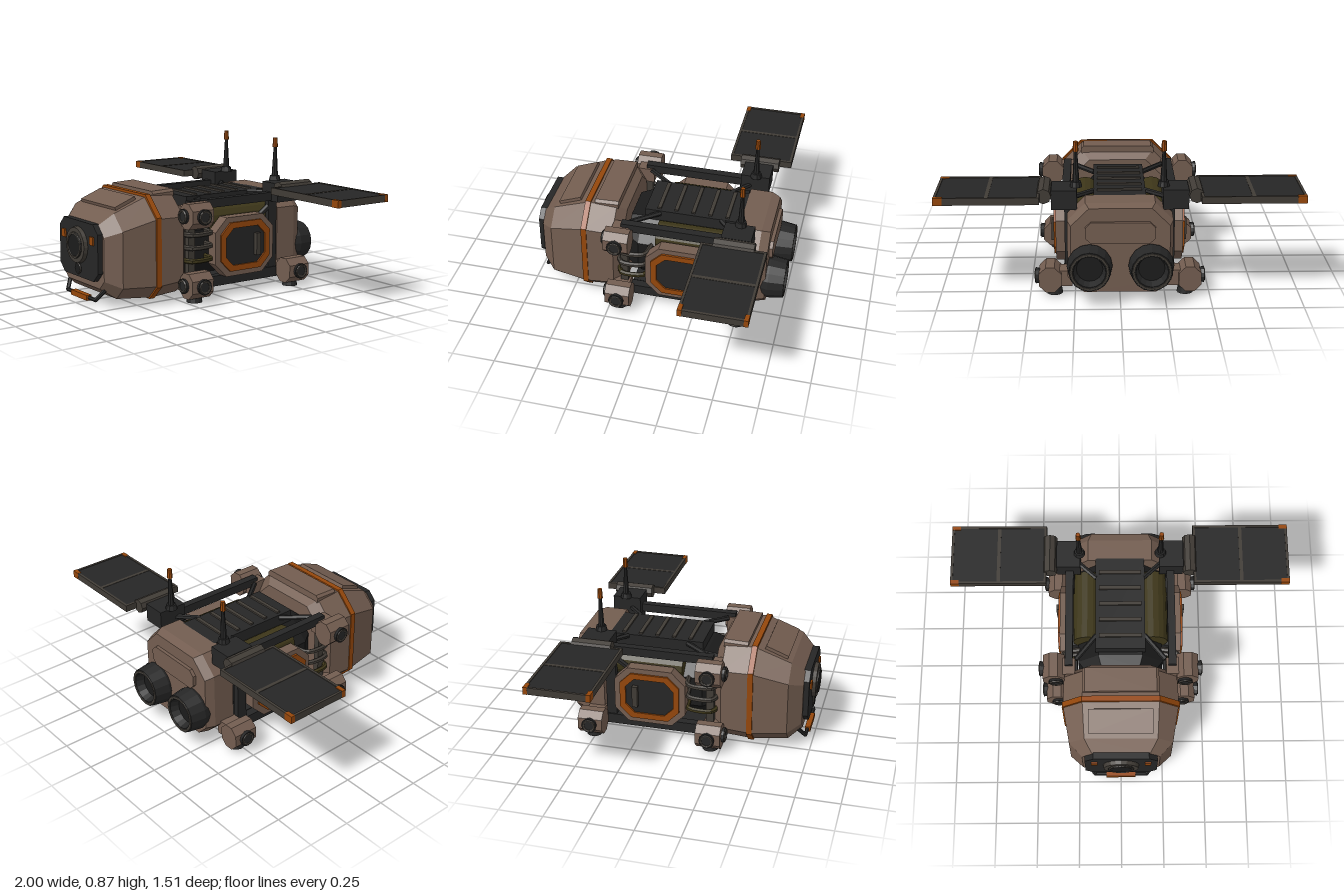
import * as THREE from 'three';

const mat = (name, color) => {
  const m = new THREE.MeshStandardMaterial({ color, flatShading: true });
  m.name = name;
  return m;
};

// Chamfered rectangle, counter-clockwise; ct and cb are the top and bottom chamfers
const octagon = (hx, y0, y1, ct, cb = ct) => [
  [hx - cb, y0], [hx, y0 + cb], [hx, y1 - ct], [hx - ct, y1],
  [ct - hx, y1], [-hx, y1 - ct], [-hx, y0 + cb], [cb - hx, y0]];

// Skin over octagon sections [z, hx, y0, y1, ct, cb], ordered front to back
function loft(sections) {
  const rings = sections.map(([z, ...o]) => octagon(...o).map(([x, y]) => [x, y, z]));
  const out = [], tri = (...p) => p.forEach(v => out.push(...v));
  for (let k = 0; k < rings.length - 1; k++) for (let i = 0; i < 8; i++) {
    const j = (i + 1) % 8, a = rings[k], b = rings[k + 1];
    tri(a[i], b[i], b[j]);
    tri(a[i], b[j], a[j]);
  }
  const f = rings[0], r = rings[rings.length - 1];
  for (let i = 1; i < 7; i++) { tri(f[0], f[i], f[i + 1]); tri(r[0], r[i + 1], r[i]); }
  const g = new THREE.BufferGeometry();
  g.setAttribute('position', new THREE.Float32BufferAttribute(out, 3));
  g.computeVertexNormals();
  return g;
}

// Octagonal plate centred on the origin, optionally with an octagonal hole
function plate(w, h, c, depth, rim = 0) {
  const shape = new THREE.Shape(octagon(w / 2, -h / 2, h / 2, c).map(p => new THREE.Vector2(...p)));
  if (rim) shape.holes.push(new THREE.Path(
    octagon(w / 2 - rim, rim - h / 2, h / 2 - rim, c * 0.8).reverse().map(p => new THREE.Vector2(...p))));
  return new THREE.ExtrudeGeometry(shape, { depth, bevelEnabled: false }).translate(0, 0, -depth / 2);
}

export function createModel() {
  const brown = mat('hull brown', 0x735d50), orange = mat('orange trim', 0x95470b),
    dark = mat('charcoal', 0x262626), black = mat('black', 0x1b1b1b),
    gray = mat('warm gray', 0x413c36), olive = mat('olive tank', 0x3d3619);
  const root = new THREE.Group();
  root.name = 'spacecraft';

  const add = (name, geo, m, x = 0, y = 0, z = 0, rx = 0, ry = 0, rz = 0) => {
    const mesh = new THREE.Mesh(geo, m);
    mesh.name = name;
    mesh.position.set(x, y, z);
    mesh.rotation.set(rx, ry, rz);
    root.add(mesh);
    return mesh;
  };
  const box = (name, m, w, h, d, x, y, z, rx = 0) => add(name, new THREE.BoxGeometry(w, h, d), m, x, y, z, rx);
  // Cylinder along z; r1 is the +z end
  const cylZ = (name, m, r1, r2, len, x, y, z, n = 16) =>
    add(name, new THREE.CylinderGeometry(r1, r2, len, n), m, x, y, z, Math.PI / 2);
  const rod = (name, m, a, b, r, n = 6) => {
    const p = new THREE.Vector3(...a), q = new THREE.Vector3(...b), d = q.clone().sub(p);
    const mesh = add(name, new THREE.CylinderGeometry(r, r, d.length(), n), m, ...p.clone().add(q).multiplyScalar(0.5).toArray());
    mesh.quaternion.setFromUnitVectors(new THREE.Vector3(0, 1, 0), d.normalize());
  };

  // Command cabin
  add('cabin', loft([
    [0.695, 0.225, 0.105, 0.46, 0.06, 0.05], [0.62, 0.3, 0.05, 0.525, 0.09, 0.07],
    [0.41, 0.335, 0.035, 0.605, 0.115, 0.075], [0.24, 0.33, 0.045, 0.6, 0.115, 0.075],
    [0.19, 0.27, 0.07, 0.555, 0.1, 0.07]]), brown);
  add('cabinBand', loft([
    [0.425, 0.34, 0.028, 0.614, 0.117, 0.077], [0.393, 0.34, 0.028, 0.614, 0.117, 0.077]]), orange);
  add('roofPanel', loft([
    [0.37, 0.22, 0.58, 0.625, 0.015, 0.01], [0.23, 0.22, 0.58, 0.63, 0.015, 0.01]]), brown);
  box('browPanel', brown, 0.37, 0.02, 0.14, 0, 0.569, 0.53, 0.37);

  // Nose face with docking port
  add('nosePlate', plate(0.42, 0.32, 0.05, 0.04), dark, 0, 0.307, 0.705);
  cylZ('portRing', gray, 0.1, 0.105, 0.025, 0, 0.33, 0.735, 20);
  cylZ('portCover', black, 0.075, 0.075, 0.008, 0, 0.33, 0.75, 20);
  add('portInnerRing', new THREE.TorusGeometry(0.068, 0.008, 6, 20), gray, 0, 0.33, 0.75);
  cylZ('sensor', black, 0.03, 0.03, 0.012, 0, 0.195, 0.728, 12);
  add('sensorRing', new THREE.TorusGeometry(0.028, 0.005, 5, 12), gray, 0, 0.195, 0.73);

  // Front grab bar
  box('grabBarGrip', orange, 0.175, 0.03, 0.032, 0, 0.04, 0.712);
  rod('grabBar', dark, [-0.16, 0.04, 0.71], [0.16, 0.04, 0.71], 0.011);

  // Service core with ribbed top deck
  add('core', loft([
    [0.18, 0.2, 0.12, 0.48, 0.09], [0.11, 0.25, 0.08, 0.5, 0.12], [-0.5, 0.25, 0.08, 0.5, 0.12]]), black);
  box('deck', dark, 0.29, 0.07, 0.57, 0, 0.525, -0.195);
  for (let i = 0; i < 5; i++) box('deckRib', gray, 0.25, 0.014, 0.022, 0, 0.563, 0.01 - i * 0.1);

  // Belly hatch
  box('bellyFrame', dark, 0.5, 0.05, 0.6, 0, 0.075, -0.16);
  for (const s of [-1, 1]) {
    box('bellyRail', black, 0.03, 0.02, 0.54, s * 0.215, 0.045, -0.16);
    box('bellyBeam', black, 0.46, 0.02, 0.03, 0, 0.045, -0.16 + s * 0.25);
  }
  box('bellyHatch', brown, 0.34, 0.02, 0.4, 0, 0.042, -0.16);

  // Engine block
  add('engineBlock', loft([
    [-0.47, 0.29, 0.06, 0.56, 0.1, 0.07], [-0.6, 0.29, 0.06, 0.56, 0.1, 0.07],
    [-0.65, 0.27, 0.06, 0.545, 0.1, 0.07]]), brown);
  add('enginePanel', plate(0.38, 0.12, 0.03, 0.03), brown, 0, 0.41, -0.655);

  for (const s of [-1, 1]) {
    // Main engines
    cylZ('engineBell', dark, 0.095, 0.125, 0.1, s * 0.168, 0.22, -0.615);
    const bell = [[0.125, -0.665], [0.112, -0.755], [0.088, -0.755], [0.07, -0.7], [0, -0.69]]
      .map(([r, z]) => new THREE.Vector2(r, -z));
    const lathe = add('engineNozzle', new THREE.LatheGeometry(bell, 16), black, s * 0.168, 0.22, 0, -Math.PI / 2);
    lathe.material = dark;
    add('engineLip', new THREE.TorusGeometry(0.1, 0.011, 6, 16), gray, s * 0.168, 0.22, -0.748);
    cylZ('engineThroat', black, 0.072, 0.072, 0.01, s * 0.168, 0.22, -0.702);

    // Nose lights and grab bar arms
    box('noseLight', orange, 0.036, 0.046, 0.016, s * 0.155, 0.375, 0.727);
    rod('grabBarArm', dark, [s * 0.195, 0.1, 0.67], [s * 0.155, 0.04, 0.71], 0.012);

    // Propellant tank
    cylZ('tank', olive, 0.085, 0.085, 0.42, s * 0.195, 0.425, -0.21);

    // Frame rails, posts and diagonal braces
    box('upperRail', dark, 0.045, 0.05, 0.68, s * 0.3, 0.54, -0.15);
    box('lowerRail', dark, 0.05, 0.06, 0.68, s * 0.29, 0.082, -0.17);
    box('frontPost', gray, 0.035, 0.42, 0.045, s * 0.3, 0.31, 0.175);
    box('rearPost', dark, 0.035, 0.42, 0.06, s * 0.29, 0.31, -0.42);
    rod('rearBrace', dark, [s * 0.29, 0.38, -0.26], [s * 0.29, 0.52, -0.46], 0.017);
    rod('frontDeckBrace', dark, [s * 0.26, 0.54, 0.15], [s * 0.14, 0.54, 0], 0.015);
    rod('rearDeckBrace', dark, [s * 0.26, 0.55, -0.47], [s * 0.14, 0.55, -0.36], 0.015);

    // Side conduits
    [[0.375, gray], [0.3, gray], [0.225, olive]].forEach(([y, m]) => {
      const path = new THREE.CatmullRomCurve3([[0.27, 0.21], [0.34, 0.19], [0.35, 0.11], [0.33, 0.05], [0.24, 0.03]]
        .map(([x, z]) => new THREE.Vector3(s * x, y, z)));
      add('conduit', new THREE.TubeGeometry(path, 12, 0.015, 6), m);
    });

    // Side hatch
    const q = s * Math.PI / 2, hz = -0.172, hy = 0.282;
    add('hatchBase', plate(0.34, 0.28, 0.06, 0.1), dark, s * 0.3, hy, hz, 0, q);
    add('hatchFrame', plate(0.42, 0.345, 0.08, 0.07, 0.035), brown, s * 0.325, hy, hz, 0, q);
    add('hatchTrim', plate(0.352, 0.285, 0.066, 0.06, 0.034), orange, s * 0.342, hy, hz, 0, q);
    add('hatchDoor', plate(0.29, 0.222, 0.045, 0.03), dark, s * 0.347, hy, hz, 0, q);
    box('hatchHandle', gray, 0.03, 0.13, 0.032, s * 0.373, 0.283, -0.255);

    // Thruster pods
    for (const [y, z] of [[0.497, 0.19], [0.102, 0.19], [0.102, -0.512]]) {
      add('thrusterPod', plate(0.125, 0.145, 0.038, 0.145), brown, s * 0.388, y, z);
      box('podMount', brown, 0.09, 0.09, 0.1, s * 0.31, y, z);
      add('sideNozzle', new THREE.CylinderGeometry(0.046, 0.04, 0.03, 12), dark, s * 0.455, y, z, 0, 0, -q);
      add('sideNozzleRing', new THREE.TorusGeometry(0.034, 0.007, 5, 12), gray, s * 0.468, y, z, 0, q);
      if (z > 0) {
        cylZ('frontNozzle', dark, 0.044, 0.04, 0.02, s * 0.375, y, z + 0.078, 12);
        add('frontNozzleRing', new THREE.TorusGeometry(0.032, 0.007, 5, 12), gray, s * 0.375, y, z + 0.088);
      }
      if (y < 0.3) add('downNozzle', new THREE.CylinderGeometry(0.04, 0.046, 0.035, 12), dark, s * 0.365, 0.0175, z);
    }

    // Solar wing mount and hinge
    box('wingMount', dark, 0.14, 0.11, 0.17, s * 0.305, 0.565, -0.485);
    cylZ('wingHinge', gray, 0.042, 0.042, 0.23, s * 0.415, 0.597, -0.485, 8);
    box('wingArm', dark, 0.09, 0.04, 0.16, s * 0.39, 0.59, -0.485);

    // Solar wing
    const cx = s * 0.7175, wy = 0.595, wz = -0.485;
    box('solarCells', dark, 0.54, 0.026, 0.345, cx, wy + 0.003, wz);
    box('wingUnderside', gray, 0.54, 0.006, 0.345, cx, wy - 0.014, wz);
    for (const e of [-1, 1]) {
      box('wingLongEdge', gray, 0.565, 0.04, 0.014, cx, wy, wz + e * 0.178);
      box('wingShortEdge', gray, 0.014, 0.04, 0.37, cx + e * 0.2755, wy, wz);
      box('wingCorner', orange, 0.05, 0.042, 0.024, s * 0.9755, wy, wz + e * 0.174);
    }
    box('wingDivider', gray, 0.02, 0.036, 0.345, cx, wy, wz);

    // Antenna
    const ax = s * 0.24, az = -0.49;
    add('antennaBase', new THREE.CylinderGeometry(0.028, 0.035, 0.03, 10), dark, ax, 0.633, az);
    add('antennaMast', new THREE.CylinderGeometry(0.009, 0.019, 0.18, 8), dark, ax, 0.735, az);
    add('antennaTip', new THREE.CylinderGeometry(0.013, 0.016, 0.055, 8), orange, ax, 0.847, az);
  }
  return root;
}
